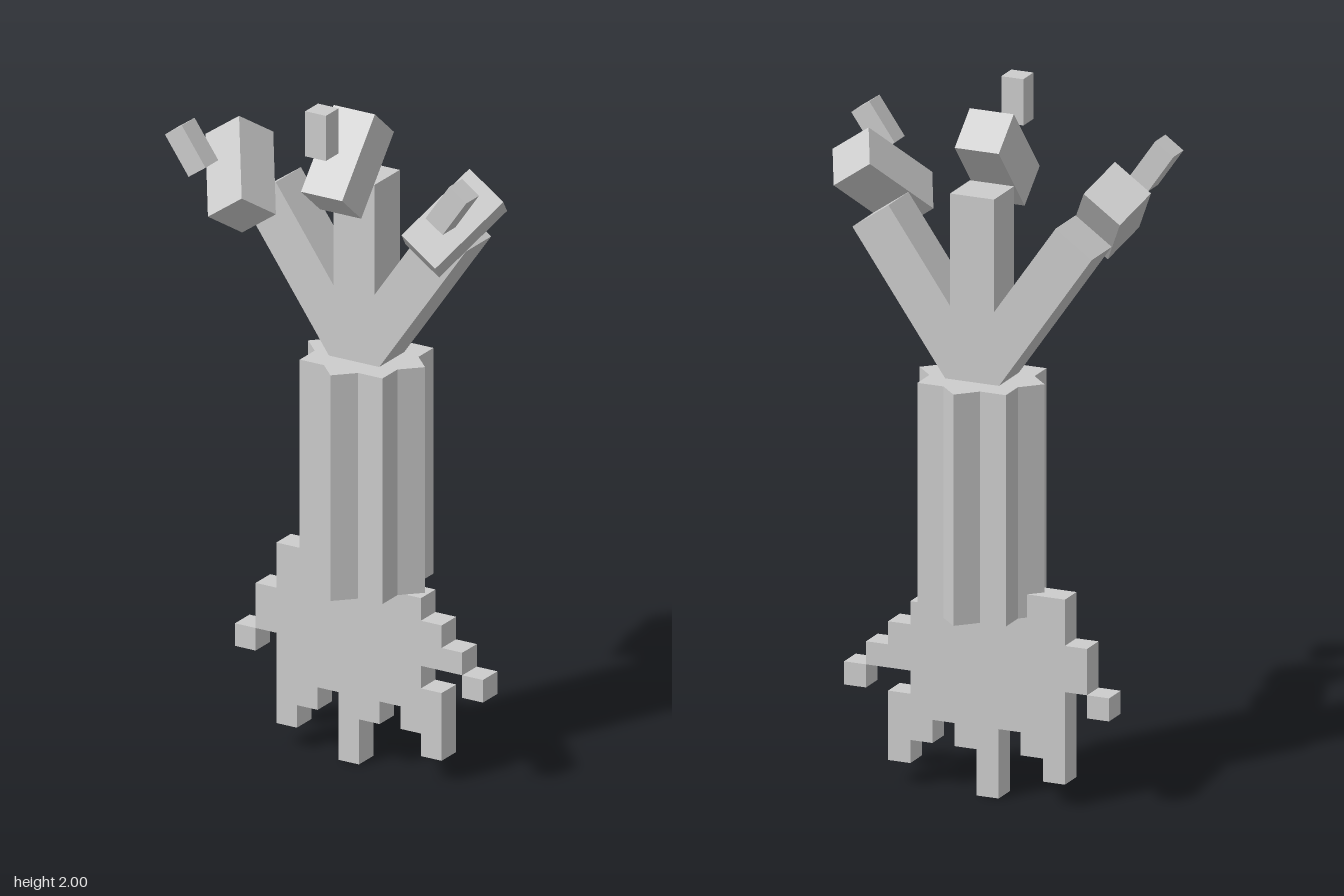
import * as THREE from 'three';

const U = 2 / 30; // cell size of the stepped foot

export function createModel() {
  const model = new THREE.Group();
  const grey = new THREE.MeshStandardMaterial({ color: 0xcccccc });
  grey.name = 'plainGrey';

  const add = (parent, name, geometry, x, y, z) => {
    const mesh = new THREE.Mesh(geometry, grey);
    mesh.name = name;
    mesh.position.set(x, y, z);
    parent.add(mesh);
    return mesh;
  };
  const shapeOf = (points) => new THREE.Shape(points.map(([x, y]) => new THREE.Vector2(x, y)));

  // Flat splayed foot with a stepped outline, in cells
  const outline = [
    [-4, 9], [-4, 7], [-5, 7], [-5, 5], [-4, 5], [-4, 1], [-3, 1], [-3, 2], [-2, 2], [-2, 3],
    [-1, 3], [-1, 0], [0, 0], [0, 2], [1, 2], [1, 3], [2, 3], [2, 2], [3, 2], [3, 1],
    [4, 1], [4, 4], [3, 4], [3, 5], [5, 5], [5, 6], [4, 6], [4, 7], [3, 7], [3, 8],
    [-2, 8], [-2, 9],
  ].map(([x, y]) => [x * U, y * U]);
  const footDepth = 0.076;
  add(model, 'foot', new THREE.ExtrudeGeometry(shapeOf(outline), { depth: footDepth, bevelEnabled: false }), 0, 0, -0.076);
  for (const side of [-1, 1]) {
    add(model, 'footCorner', new THREE.BoxGeometry(U, U, footDepth), side * 5.5 * U, 4.5 * U, -footDepth / 2);
  }

  // Star-section column: a square crossed with one turned 45 degrees
  const tip = 0.1886, notch = tip * Math.cos(Math.PI / 4) / Math.cos(Math.PI / 8);
  const star = [];
  for (let i = 0; i < 16; i++) {
    const r = i % 2 ? notch : tip, a = i * Math.PI / 8;
    star.push([r * Math.cos(a), r * Math.sin(a)]);
  }
  const columnGeo = new THREE.ExtrudeGeometry(shapeOf(star), { depth: 1.2 - 8 * U, bevelEnabled: false });
  columnGeo.rotateX(-Math.PI / 2);
  add(model, 'column', columnGeo, 0, 8 * U, -0.04);

  // Three fingers fanned about the column top, each with a bent tip and a floating claw
  for (const [name, angle] of [['rightFinger', 35], ['middleFinger', 0], ['leftFinger', -35]]) {
    const finger = new THREE.Group();
    finger.name = name;
    finger.position.y = 1.2;
    finger.rotation.z = THREE.MathUtils.degToRad(angle);
    add(finger, 'fingerBase', new THREE.BoxGeometry(0.133, 0.535, 0.131), 0, 0.2675, -0.04);
    const bent = add(finger, 'fingerTip', new THREE.BoxGeometry(0.133, 0.262, 0.131), 0, 0.601, 0.06);
    bent.rotation.x = -0.71;
    add(finger, 'claw', new THREE.BoxGeometry(U, 2 * U, U), 0, 0.8 - U, 0.193);
    model.add(finger);
  }
  return model;
}
